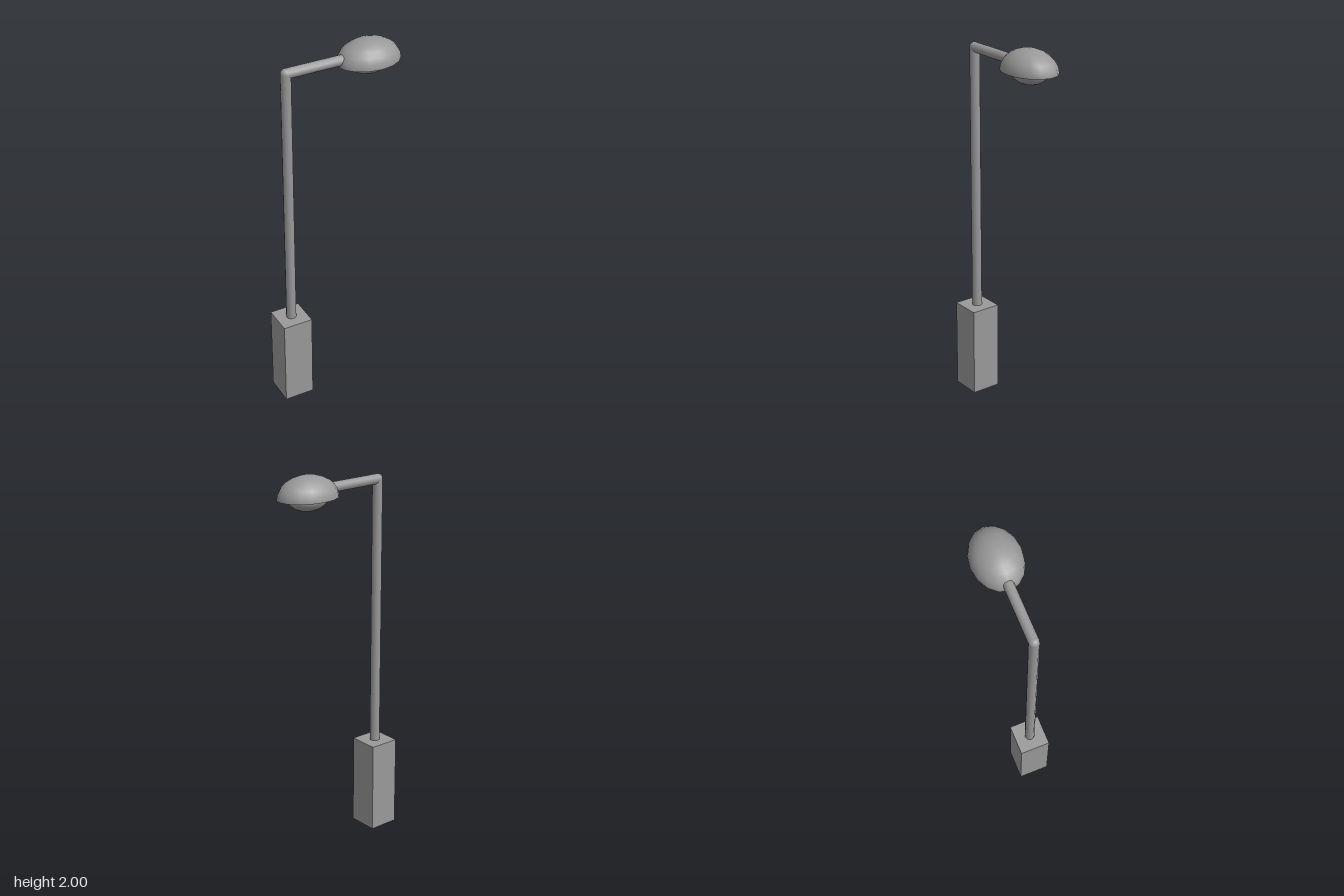
import * as THREE from 'three';

const SIDES = 12, TUBE_R = 0.0265;
const POLE_X = -0.267, ARM_Y = 1.918, BASE_H = 0.488;
const LAMP_X = 0.18, RIM_Y = 1.887, SHADE_RX = 0.168, SHADE_RZ = 0.127;

export function createModel() {
  const group = new THREE.Group();
  const solid = new THREE.MeshStandardMaterial({ color: 0x999999 });
  const open = new THREE.MeshStandardMaterial({ color: 0x999999, side: THREE.DoubleSide });

  const add = (name, geometry, material, x, y) => {
    const mesh = new THREE.Mesh(geometry, material);
    mesh.name = name;
    mesh.position.set(x, y, 0);
    group.add(mesh);
    return mesh;
  };

  // Square base, hollow and open underneath (bottom face dropped from the index)
  const box = new THREE.BoxGeometry(0.162, BASE_H, 0.162);
  const index = Array.from(box.index.array);
  index.splice(18, 6);
  box.setIndex(index);
  box.clearGroups();
  add('base', box, open, POLE_X, BASE_H / 2);

  // Upright pole, rounded elbow and horizontal arm
  const tube = (length) => new THREE.CylinderGeometry(TUBE_R, TUBE_R, length, SIDES, 1, true);
  add('pole', tube(ARM_Y - BASE_H), open, POLE_X, (ARM_Y + BASE_H) / 2);
  add('elbow', new THREE.SphereGeometry(TUBE_R, SIDES, SIDES), solid, POLE_X, ARM_Y);
  const armEnd = 0.07;
  const arm = add('arm', tube(armEnd - POLE_X), open, (armEnd + POLE_X) / 2, ARM_Y);
  arm.rotation.z = Math.PI / 2;

  // Oval half-dome shade
  const dome = new THREE.SphereGeometry(1, 16, 6, 0, Math.PI * 2, 0, Math.PI / 2);
  dome.scale(SHADE_RX, 2 - RIM_Y, SHADE_RZ);
  add('lampShade', dome, solid, LAMP_X, RIM_Y);

  // Flat underside closing the shade, facing down
  const underside = new THREE.CircleGeometry(1, 16);
  underside.rotateX(Math.PI / 2);
  underside.scale(SHADE_RX, 1, SHADE_RZ);
  add('shadeUnderside', underside, solid, LAMP_X, RIM_Y);

  // Oval half bulb hanging beneath the shade
  const bulb = new THREE.SphereGeometry(1, 16, 6, 0, Math.PI * 2, Math.PI / 2, Math.PI / 2);
  bulb.scale(0.111, 0.064, 0.084);
  add('bulb', bulb, solid, LAMP_X, RIM_Y);

  return group;
}
